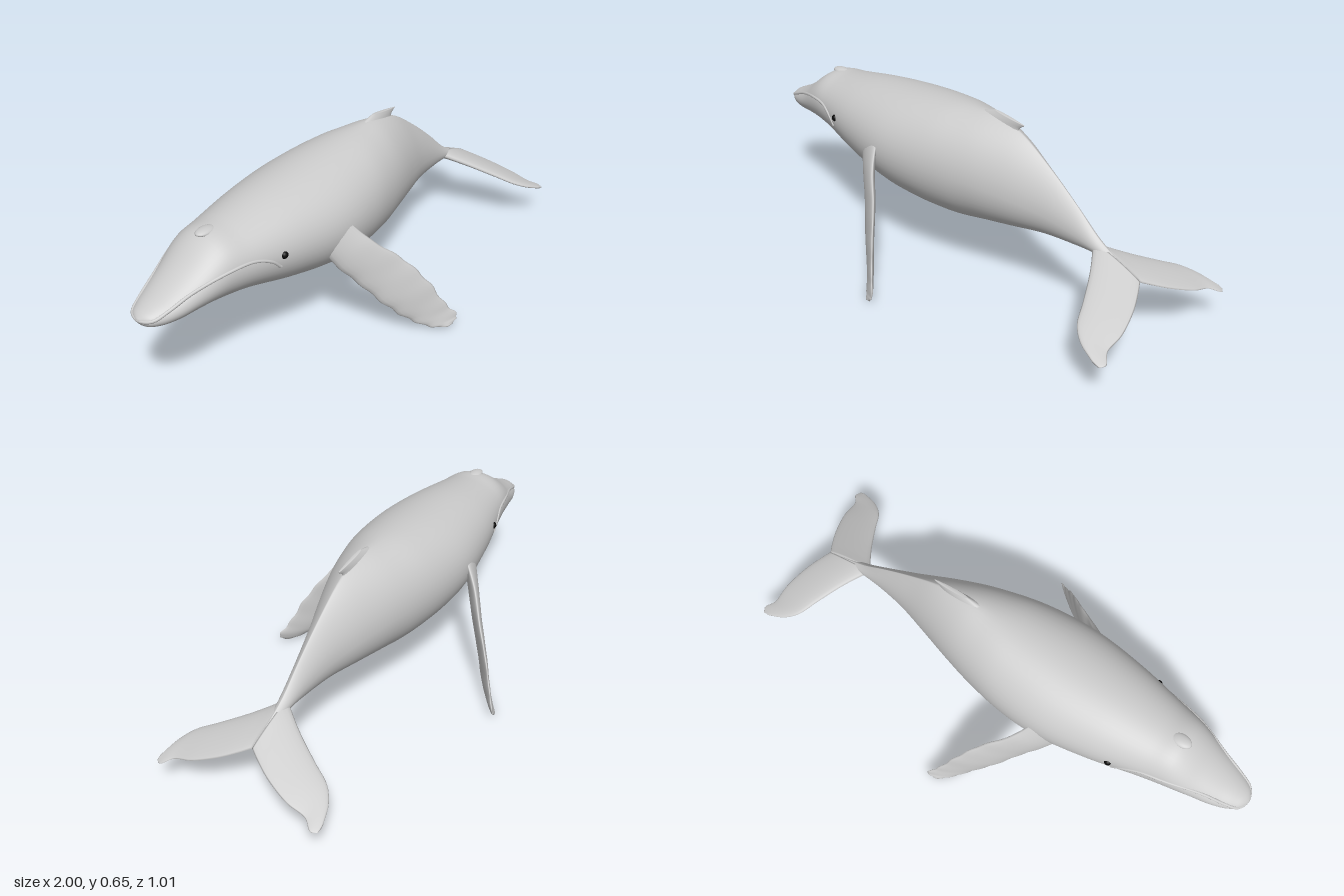
import * as THREE from 'three';

const V = (x, y, z) => new THREE.Vector3(x, y, z);
const grey = new THREE.MeshStandardMaterial({ color: 0xcccccc });
const black = new THREE.MeshStandardMaterial({ color: 0x080808 });

// Closed smooth skin over a list of rings with equal point counts
function skin(rings) {
  const n = rings[0].length, last = rings.length - 1;
  const points = rings.flat(), index = [];
  for (let i = 0; i < last; i++) {
    for (let j = 0; j < n; j++) {
      const k = (j + 1) % n, a = i * n + j, b = a + n, c = i * n + k, d = c + n;
      index.push(a, b, c, b, d, c);
    }
  }
  for (const i of [0, last]) {
    const centre = V(0, 0, 0);
    rings[i].forEach((p) => centre.addScaledVector(p, 1 / n));
    const m = points.push(centre) - 1;
    for (let j = 0; j < n; j++) {
      const a = i * n + j, b = i * n + ((j + 1) % n);
      if (i === 0) index.push(m, a, b); else index.push(m, b, a);
    }
  }
  const geometry = new THREE.BufferGeometry().setFromPoints(points);
  geometry.setIndex(index);
  geometry.computeVertexNormals();
  return geometry;
}

// Tapered blade between a leading and a trailing edge, with optional knobs in front
function blade(lead, trail, thickRoot, thickTip, knobs = 0) {
  const front = new THREE.CatmullRomCurve3(lead), back = new THREE.CatmullRomCurve3(trail);
  const mid = (t) => front.getPoint(t).lerp(back.getPoint(t), 0.5);
  const rings = [], steps = 44, sides = 20;
  for (let i = 0; i <= steps; i++) {
    const t = i / steps;
    const start = front.getPoint(t), chord = back.getPoint(t).sub(start);
    start.addScaledVector(chord, knobs * t * Math.sin(t * 50));
    const span = mid(Math.min(1, t + 0.02)).sub(mid(Math.max(0, t - 0.02)));
    const normal = span.cross(chord).normalize();
    const thick = THREE.MathUtils.lerp(thickRoot, thickTip, t);
    const ring = [];
    for (let j = 0; j < sides; j++) {
      const a = (j / sides) * Math.PI * 2, s = (1 - Math.cos(a)) / 2;
      ring.push(start.clone().addScaledVector(chord, s)
        .addScaledVector(normal, Math.sin(a) * (1 - 0.5 * s) * thick * 0.6));
    }
    rings.push(ring);
  }
  return skin(rings);
}

// Body stations along the axis: position, back height, belly height, half width
const stations = [
  [-1.032, 0.405, 0.395, 0.008], [-1.02, 0.417, 0.378, 0.035], [-0.99, 0.432, 0.364, 0.06],
  [-0.93, 0.458, 0.356, 0.086], [-0.85, 0.503, 0.355, 0.108], [-0.78, 0.552, 0.35, 0.127],
  [-0.74, 0.573, 0.344, 0.136], [-0.66, 0.582, 0.333, 0.153], [-0.46, 0.61, 0.28, 0.197],
  [-0.26, 0.628, 0.237, 0.222], [-0.1, 0.638, 0.219, 0.212], [0.05, 0.642, 0.218, 0.182],
  [0.17, 0.638, 0.235, 0.148], [0.29, 0.603, 0.252, 0.108], [0.42, 0.52, 0.272, 0.066],
  [0.55, 0.42, 0.279, 0.037], [0.65, 0.335, 0.28, 0.023], [0.72, 0.295, 0.265, 0.016],
  [0.8, 0.258, 0.25, 0.008],
];
const profile = new THREE.CubicInterpolant(
  stations.map((s) => s[0]), stations.flatMap((s) => s.slice(1)), 3);

function section(u) {
  const [top, bottom, half] = profile.evaluate(u);
  const pinch = THREE.MathUtils.smoothstep(u, -0.05, 0.4);
  return { top, bottom, half, pinch, mid: THREE.MathUtils.lerp(bottom, top, 0.5 - 0.1 * pinch) };
}

// The back narrows to a ridge towards the tail
function bodyPoint(u, a) {
  const { top, bottom, half, pinch, mid } = section(u);
  const c = Math.cos(a), s = Math.sin(a);
  const power = s > 0 ? 1 + 0.75 * pinch : 1;
  return V(u, mid + s * (s > 0 ? top - mid : mid - bottom),
    half * Math.sign(c) * Math.pow(Math.abs(c), power));
}

function bodyGeometry() {
  const rings = [], steps = 100, sides = 48;
  for (let i = 0; i <= steps; i++) {
    const u = -1.032 + 1.832 * Math.pow(i / steps, 1.4);
    rings.push(Array.from({ length: sides }, (_, j) => bodyPoint(u, (j / sides) * Math.PI * 2)));
  }
  return skin(rings);
}

// Lip line laid on the skin of the head, from one cheek round the snout to the other
function lipGeometry() {
  const line = [[-1.01, 0.403], [-0.96, 0.422], [-0.88, 0.452], [-0.75, 0.483],
    [-0.66, 0.482], [-0.6, 0.458], [-0.565, 0.425]];
  const side = line.map(([u, y]) => {
    const { top, bottom, mid } = section(u);
    const s = (y - mid) / (y > mid ? top - mid : mid - bottom);
    const p = bodyPoint(u, Math.asin(THREE.MathUtils.clamp(s, -1, 1)));
    p.z -= 0.002;
    return p;
  });
  const other = side.map((p) => V(p.x, p.y, -p.z)).reverse();
  const path = new THREE.CatmullRomCurve3([...other, V(-1.028, 0.398, 0), ...side]);
  return new THREE.TubeGeometry(path, 90, 0.006, 8);
}

// Flipper edges, root to tip
const flipperLead = [[-0.373, 0.42, 0.167], [-0.33, 0.33, 0.199], [-0.261, 0.235, 0.253],
  [-0.185, 0.13, 0.319], [-0.116, 0.055, 0.373], [-0.059, 0.015, 0.429], [-0.015, 0.006, 0.468]];
const flipperTrail = [[-0.265, 0.48, 0.195], [-0.206, 0.39, 0.27], [-0.119, 0.3, 0.341],
  [-0.053, 0.2, 0.405], [-0.003, 0.095, 0.453], [0.031, 0.04, 0.483], [0.01, 0.014, 0.48]];

// Fluke outline: distance from the axis, leading edge, trailing edge
const fluke = [[0, 0.62, 0.826], [0.035, 0.649, 0.848], [0.1, 0.695, 0.882], [0.194, 0.75, 0.912],
  [0.267, 0.791, 0.918], [0.305, 0.84, 0.945], [0.326, 0.905, 0.935]];
const flukeHeight = (w, u) => 0.3 - 0.26 * w - 0.3 * (u - 0.65);

export function createModel() {
  const model = new THREE.Group();
  model.name = 'whale';
  const add = (name, geometry, material = grey) => {
    const mesh = new THREE.Mesh(geometry, material);
    mesh.name = name;
    model.add(mesh);
    return mesh;
  };

  add('body', bodyGeometry());
  add('lip', lipGeometry());

  const blowhole = add('blowhole', new THREE.SphereGeometry(1, 20, 12));
  blowhole.scale.set(0.04, 0.012, 0.025);
  blowhole.position.set(-0.725, 0.572, 0);

  // Low hooked fin on the back
  add('dorsalFin', blade(
    [V(0.02, 0.6, 0), V(0.09, 0.637, 0), V(0.155, 0.656, 0)],
    [V(0.32, 0.55, 0), V(0.272, 0.612, 0), V(0.298, 0.636, 0)], 0.06, 0.014));

  // Paired parts
  for (const [side, m] of [['left', 1], ['right', -1]]) {
    const mirrored = (list) => list.map(([u, y, w]) => V(u, y, w * m));
    add(side + 'Flipper', blade(mirrored(flipperLead), mirrored(flipperTrail), 0.05, 0.014, 0.04));
    const edge = (k) => fluke.map((f) => V(f[k], flukeHeight(f[0], f[k]), f[0] * m));
    add(side + 'Fluke', blade(edge(1), edge(2), 0.042, 0.008));
    add(side + 'Eye', new THREE.SphereGeometry(0.014, 16, 12), black)
      .position.set(-0.55, 0.463, 0.172 * m);
  }

  // The whole animal swims at a slight angle
  model.rotation.y = THREE.MathUtils.degToRad(14.4);
  model.position.z = 0.035;
  const root = new THREE.Group();
  root.add(model);
  return root;
}
